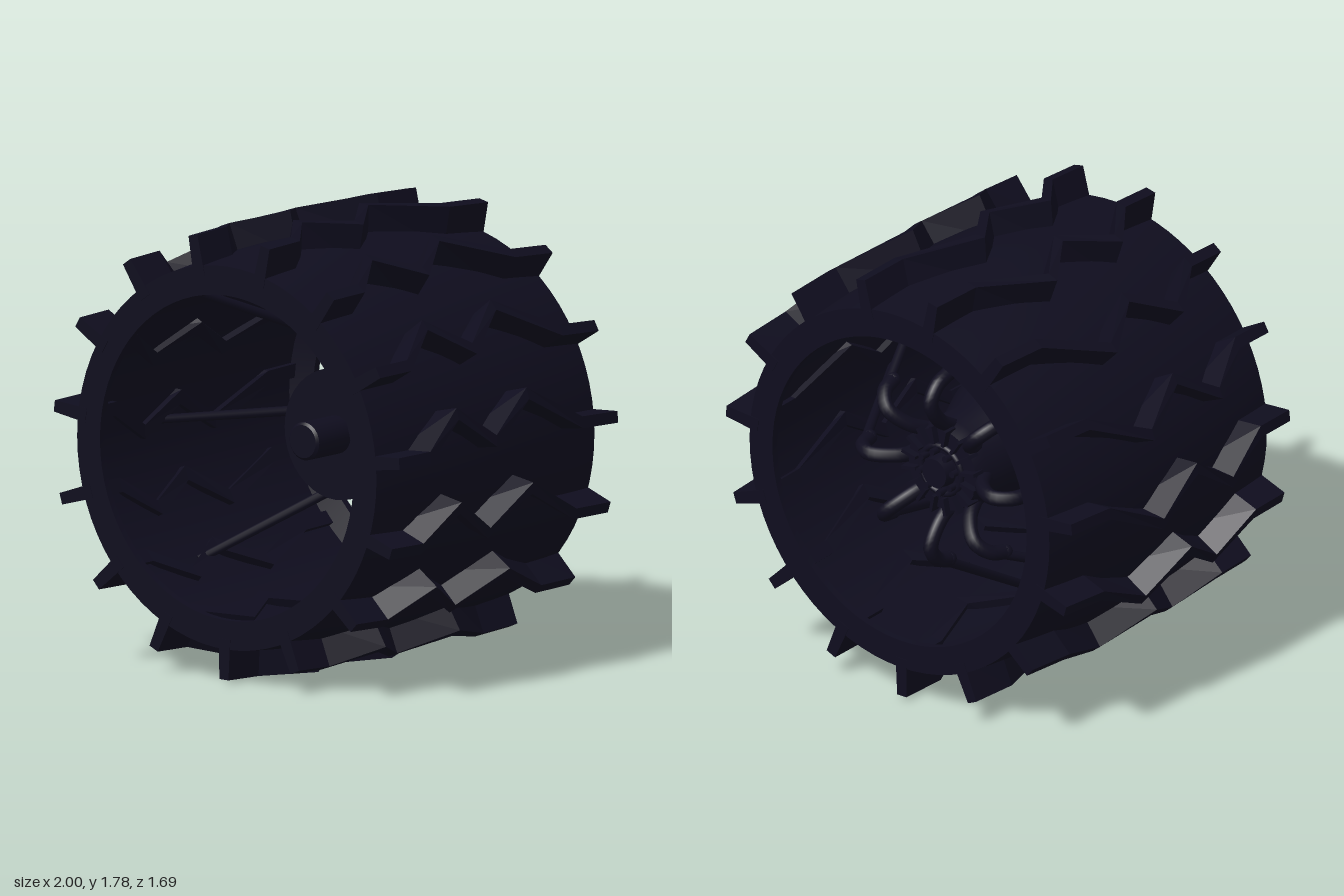
import * as THREE from 'three';
import { toCreasedNormals } from 'three/addons/utils/BufferGeometryUtils.js';

const TREADS = 15, SPOKES = 8;
const rubber = new THREE.MeshStandardMaterial({ color: 0x0f0d1e, side: THREE.DoubleSide });
const treadMat = new THREE.MeshStandardMaterial({ color: 0x0f0d1e, flatShading: true });
const metal = new THREE.MeshStandardMaterial({ color: 0x0f0d1e });

function add(parent, name, geometry, material) {
  const mesh = new THREE.Mesh(geometry, material);
  mesh.name = name;
  parent.add(mesh);
  return mesh;
}

// Lathe around the wheel axis (z); points are [radius, z]
function turned(points, segments = 64) {
  const geo = new THREE.LatheGeometry(points.map(([r, z]) => new THREE.Vector2(r, z)), segments);
  geo.rotateX(Math.PI / 2);
  return toCreasedNormals(geo, 0.5);
}

// One zigzag cleat, swept across the width of the wheel
function treadGeometry() {
  // [position along axis, sideways shift, outer radius]
  const path = [[-0.662, 0, 0.875], [-0.44, 0.01, 0.885], [-0.13, 0.165, 0.895],
    [0.085, 0.01, 0.89], [0.295, 0.145, 0.89], [0.48, 0, 0.883], [0.662, 0, 0.875]];
  const pos = [], index = [];
  for (const [z, s, r] of path) {
    for (const [radius, half] of [[0.715, -0.035], [r, -0.023], [r, 0.023], [0.715, 0.035]]) {
      const a = (s + half) / 0.88;
      pos.push(radius * Math.cos(a), radius * Math.sin(a), z);
    }
  }
  for (let i = 0; i < path.length - 1; i++) {
    for (let k = 0; k < 4; k++) {
      const a = i * 4 + k, b = i * 4 + (k + 1) % 4;
      index.push(a, b, b + 4, a, b + 4, a + 4);
    }
  }
  const e = (path.length - 1) * 4;
  index.push(0, 2, 1, 0, 3, 2, e, e + 1, e + 2, e, e + 2, e + 3);
  const geo = new THREE.BufferGeometry();
  geo.setAttribute('position', new THREE.Float32BufferAttribute(pos, 3));
  geo.setIndex(index);
  geo.computeVertexNormals();
  return geo;
}

// Rod between two points
function rod(from, to, r0, r1) {
  const dir = to.clone().sub(from);
  const geo = new THREE.CylinderGeometry(r1, r0, dir.length(), 10);
  geo.applyQuaternion(new THREE.Quaternion().setFromUnitVectors(
    new THREE.Vector3(0, 1, 0), dir.clone().normalize()));
  const mid = from.clone().add(to).multiplyScalar(0.5);
  return geo.translate(mid.x, mid.y, mid.z);
}

export function createModel() {
  const model = new THREE.Group();
  model.name = 'wheel';
  const wheel = new THREE.Group();
  wheel.name = 'wheelAssembly';
  wheel.rotation.y = 0.229;
  wheel.position.y = 0.897;
  model.add(wheel);

  // Barrel shell: bulged outside, inward lips at both ends, hollow inside
  const profile = [];
  for (let i = 0; i <= 12; i++) {
    const t = i / 6 - 1;
    profile.push([0.755 + 0.035 * (1 - t * t), 0.66 * t]);
  }
  profile.push([0.64, 0.66], [0.64, 0.63], [0.735, 0.6], [0.745, 0],
    [0.735, -0.6], [0.64, -0.63], [0.64, -0.66], [0.755, -0.66]);
  add(wheel, 'tire', turned(profile, 72), rubber);

  // Cleats
  const tread = treadGeometry();
  for (let i = 0; i < TREADS; i++) {
    add(wheel, 'tread', tread, treadMat).rotation.z = 0.09 + i * Math.PI * 2 / TREADS;
  }

  // Hub and front axle stub
  add(wheel, 'hub', turned([[0, -0.4], [0.17, -0.4], [0.19, -0.34], [0.19, -0.2],
    [0.258, -0.05], [0.258, 0], [0, 0]], 40), metal);
  add(wheel, 'axle', turned([[0, -0.01], [0.075, -0.01], [0.075, 0.19], [0.065, 0.2], [0, 0.2]], 24), metal);

  // Rear of the hub: boss, ring, ribs and bolts
  add(wheel, 'rearBoss', turned([[0, -0.45], [0.06, -0.45], [0.07, -0.39], [0, -0.39]], 24), metal);
  add(wheel, 'rearRing', new THREE.TorusGeometry(0.1, 0.013, 8, 32), metal).position.z = -0.405;
  for (let i = 0; i < 16; i++) {
    const pivot = new THREE.Group();
    pivot.name = 'rearHubDetail';
    pivot.rotation.z = (i + 0.5) * Math.PI / 8;
    wheel.add(pivot);
    add(pivot, 'hubRib', new THREE.BoxGeometry(0.07, 0.014, 0.06), metal).position.set(0.15, 0, -0.4);
    if (i % 2) {
      const bolt = add(pivot, 'hubBolt', new THREE.CylinderGeometry(0.014, 0.014, 0.04, 6), metal);
      bolt.rotation.x = Math.PI / 2;
      bolt.position.set(0.085, 0, -0.425);
    }
  }

  // Spokes: hooked root behind the hub, then a straight arm slanting forward
  const root = new THREE.CatmullRomCurve3([[0.16, -0.33], [0.22, -0.42], [0.31, -0.47], [0.375, -0.43], [0.4, -0.36]]
    .map(([r, z]) => new THREE.Vector3(r, 0, z)));
  const rootGeo = new THREE.TubeGeometry(root, 20, 0.03, 10);
  const armGeo = rod(new THREE.Vector3(0.39, 0, -0.4), new THREE.Vector3(0.745, 0, 0.2), 0.02, 0.017);
  const capGeo = new THREE.SphereGeometry(0.031, 12, 8);
  for (let i = 0; i < SPOKES; i++) {
    const spoke = new THREE.Group();
    spoke.name = 'spoke';
    spoke.rotation.z = i * Math.PI * 2 / SPOKES;
    wheel.add(spoke);
    add(spoke, 'spokeRoot', rootGeo, metal);
    add(spoke, 'spokeJoint', capGeo, metal).position.set(0.4, 0, -0.36);
    add(spoke, 'spokeArm', armGeo, metal);
  }
  return model;
}
